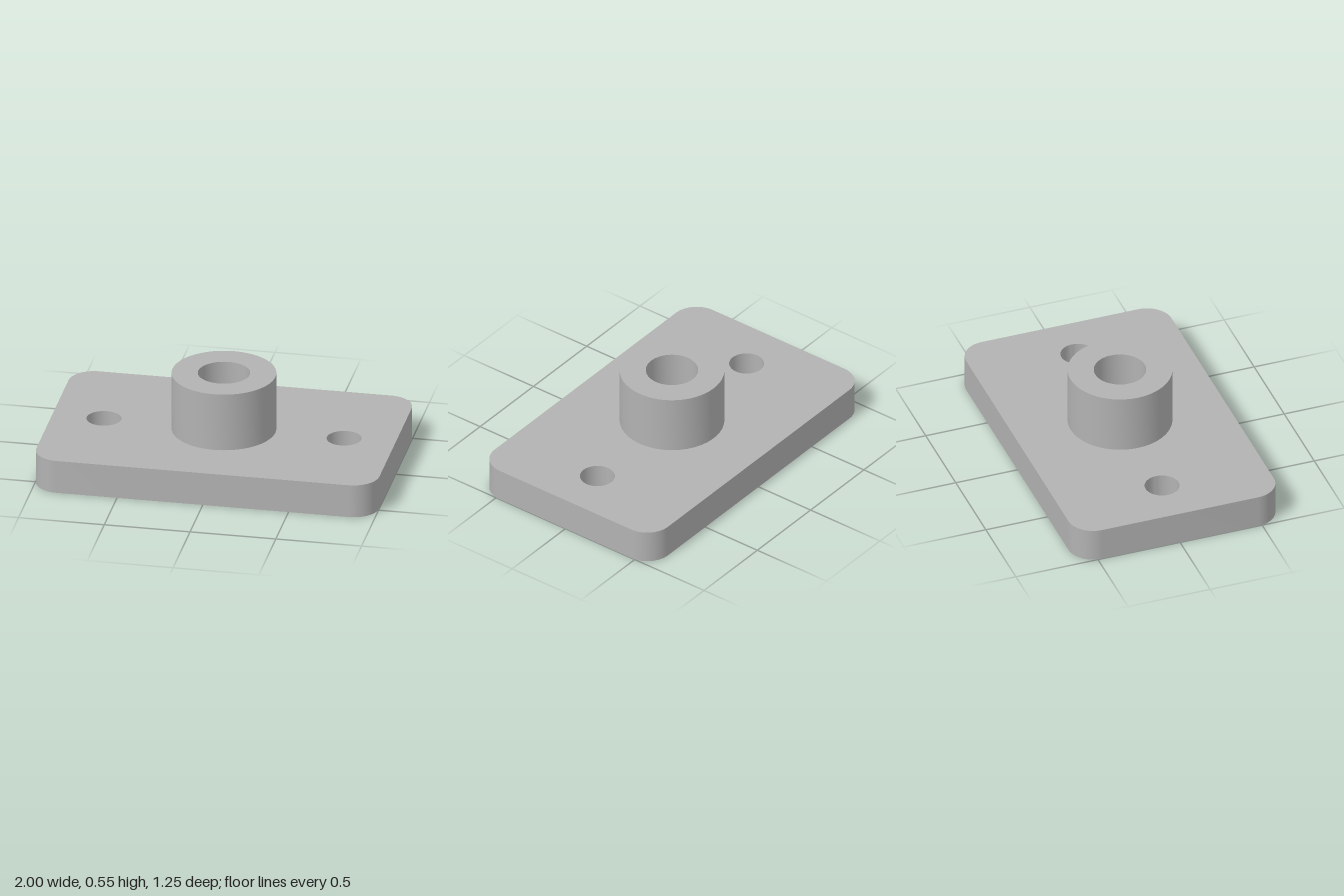
import * as THREE from 'three';
import { toCreasedNormals } from 'three/addons/utils/BufferGeometryUtils.js';

const HALF_X = 1, HALF_Z = 0.625, CORNER = 0.15;
const PLATE_TOP = 0.2, BOSS_TOP = 0.55;
const BOSS_R = 0.3, BORE_R = 0.15, BOLT_R = 0.1, BOLT_X = 0.7;

const circle = (x, r) => new THREE.Path().absarc(x, 0, r, 0, Math.PI * 2, true);

// Rounded rectangle traced corner by corner, counter-clockwise
function plateShape() {
  const shape = new THREE.Shape();
  const cx = HALF_X - CORNER, cz = HALF_Z - CORNER;
  [[cx, cz], [-cx, cz], [-cx, -cz], [cx, -cz]].forEach(([x, z], i) =>
    shape.absarc(x, z, CORNER, i * Math.PI / 2, (i + 1) * Math.PI / 2, false));
  shape.closePath();
  shape.holes.push(circle(0, BORE_R), circle(-BOLT_X, BOLT_R), circle(BOLT_X, BOLT_R));
  return shape;
}

export function createModel() {
  const steel = new THREE.MeshStandardMaterial({ color: 0xb2b2b2 });
  steel.name = 'steel grey';
  const group = new THREE.Group();
  group.name = 'flangedBushing';

  function add(name, geometry) {
    const mesh = new THREE.Mesh(toCreasedNormals(geometry, Math.PI / 6), steel);
    mesh.name = name;
    group.add(mesh);
  }

  // Base plate with the central bore and two bolt holes
  const plate = new THREE.ExtrudeGeometry(plateShape(), {
    depth: PLATE_TOP, bevelEnabled: false, curveSegments: 32,
  });
  plate.rotateX(-Math.PI / 2);
  add('basePlate', plate);

  // Hollow boss: outer wall, top ring, then bore wall
  const profile = [
    [BOSS_R, PLATE_TOP], [BOSS_R, BOSS_TOP], [BORE_R, BOSS_TOP], [BORE_R, PLATE_TOP],
  ].map(([r, y]) => new THREE.Vector2(r, y));
  add('boss', new THREE.LatheGeometry(profile, 64));

  return group;
}
